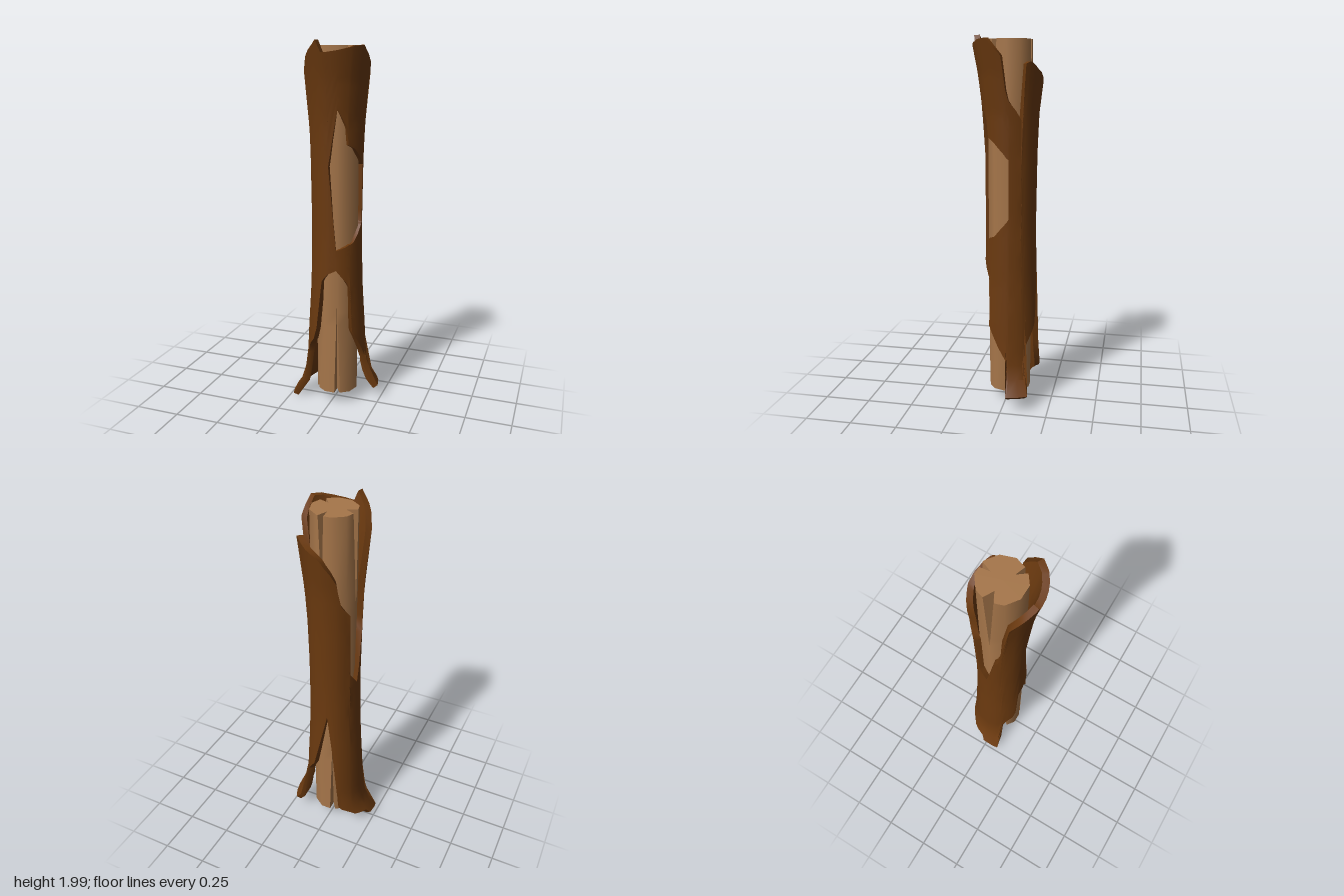
import * as THREE from 'three';
import { toCreasedNormals } from 'three/addons/utils/BufferGeometryUtils.js';

const rad = THREE.MathUtils.degToRad;
const lerp = THREE.MathUtils.lerp;

// Point at an angle (0 = front, 90 = +x), radius and height around an axis
function polar(deg, r, y, cx, cz) {
  return [cx + r * Math.sin(rad(deg)), y, cz + r * Math.cos(rad(deg))];
}

// Two triangles per cell of a grid of points, counter-clockwise with columns to the right, rows up
function addGrid(out, grid) {
  for (let i = 0; i + 1 < grid.length; i++) {
    for (let j = 0; j + 1 < grid[i].length; j++) {
      const a = grid[i][j], b = grid[i + 1][j], c = grid[i + 1][j + 1], d = grid[i][j + 1];
      out.push(...a, ...b, ...c, ...a, ...c, ...d);
    }
  }
}

function toMesh(name, positions, material) {
  const geo = new THREE.BufferGeometry();
  geo.setAttribute('position', new THREE.Float32BufferAttribute(positions, 3));
  const mesh = new THREE.Mesh(toCreasedNormals(geo, 0.75), material);
  mesh.name = name;
  return mesh;
}

// Outer bark radius by height: flared feet, narrow waist, flared rim
const PROFILE = [[0, 0.265], [0.05, 0.24], [0.12, 0.19], [0.22, 0.168], [0.45, 0.157], [0.7, 0.142],
  [1, 0.135], [1.4, 0.14], [1.6, 0.148], [1.8, 0.172], [2, 0.21]];

function barkRadius(deg, y) {
  const lift = deg > 60 && deg < 130 ? 0.05 * THREE.MathUtils.clamp((0.4 - y) / 0.3, 0, 1) : 0;
  const h = THREE.MathUtils.clamp(y - lift, 0, 2);
  let k = 0;
  while (k < PROFILE.length - 2 && h > PROFILE[k + 1][0]) k++;
  const [y0, r0] = PROFILE[k], [y1, r1] = PROFILE[k + 1];
  return lerp(r0, r1, (h - y0) / (y1 - y0));
}

// Bark sheets as columns of [angle, lower edge, upper edge]
const WRAP = [[95, 0.1, 1.67], [110, 0.1, 1.62], [122, 0.1, 1.57], [125, 0.13, 1.85], [131, 0.36, 1.86],
  [135, 0.38, 1.86], [155, 0.46, 1.82], [163, 0.55, 1.81], [180, 0.75, 1.78], [187, 0.83, 1.75],
  [198, 0.6, 1.71], [208, 0.3, 1.66], [212, 0.17, 1.6], [218, 0.15, 1.53], [238, 0.11, 1.47],
  [242, 0.1, 1.1], [264, 0.08, 1.03], [270, 0.05, 1.1], [285, 0.035, 1.32], [293, 0.025, 1.35],
  [299, 0.12, 1.4], [303, 0.3, 1.6], [312, 0.36, 1.85], [325, 0.4, 1.92], [333, 0.47, 1.95],
  [343, 0.74, 1.98], [348, 0.76, 2], [355, 0.78, 1.94], [360, 0.79, 1.94]];
const ABOVE_HOLE = [[0, 1.37, 1.94], [20, 1.66, 1.95], [40, 1.57, 1.965], [44, 1.48, 1.97],
  [60, 1.46, 1.975], [84, 1.4, 1.89], [90, 1.38, 1.72], [95, 1.37, 1.67]];
const BELOW_HOLE = [[0, 0.79, 1.37], [17, 0.81, 0.92], [40, 0.74, 0.94], [48, 0.71, 0.95],
  [51, 0.46, 0.95], [60, 0.42, 0.96], [90, 0.28, 1.04], [93, 0.1, 1.05], [95, 0.1, 1.06]];

function addBarkSheet(out, columns) {
  // Subdivide wide spans so the sheet follows the trunk
  const cols = [columns[0]];
  for (let i = 1; i < columns.length; i++) {
    const p = columns[i - 1], q = columns[i];
    const n = Math.ceil((q[0] - p[0]) / 18);
    for (let k = 1; k <= n; k++) cols.push(p.map((v, c) => lerp(v, q[c], k / n)));
  }
  const rows = 20, thickness = 0.032;
  const outer = [], inner = [];
  for (const [deg, lo, hi] of cols) {
    const o = [], n = [];
    for (let j = 0; j <= rows; j++) {
      const y = lerp(lo, hi, j / rows), r = barkRadius(deg, y);
      const slope = (barkRadius(deg, y + 0.02) - barkRadius(deg, y)) / 0.02;
      const len = Math.hypot(1, slope);
      const drop = Math.min(Math.max(-slope, 0) / len * thickness, y);
      o.push(polar(deg, r, y, 0.003, -0.015));
      n.push(polar(deg, r - thickness / len, y - drop, 0.003, -0.015));
    }
    outer.push(o);
    inner.push(n);
  }
  const last = cols.length - 1;
  addGrid(out, outer);
  addGrid(out, inner.slice().reverse());
  addGrid(out, cols.map((_, i) => [outer[i][rows], inner[i][rows]])); // upper edge
  addGrid(out, cols.map((_, i) => [inner[i][0], outer[i][0]]));       // lower edge
  addGrid(out, [inner[0], outer[0]]);                                 // side edges
  addGrid(out, [outer[last], inner[last]]);
}

// Ten-sided heartwood with wedge cracks running in from both ends
const CORE = { r: 0.117, lo: 0.08, hi: 1.975, cx: 0.007, cz: -0.012 };
const CRACKS = [
  { deg: 270, half: 14, top: true, reach: 0.5 }, { deg: 172, half: 7, top: true, reach: 0.4 },
  { deg: 54, half: 8, top: true, reach: 0.4 }, { deg: 18, half: 8, top: false, reach: 0.55 },
  { deg: 198, half: 8, top: false, reach: 0.48 }, { deg: 306, half: 8, top: false, reach: 0.4 }];

function coreRadius(deg) {
  const off = ((deg + 18) % 36 + 36) % 36 - 18;
  return CORE.r * Math.cos(rad(18)) / Math.cos(rad(off));
}

function coreRing(y) {
  const pts = [];
  for (let k = 0; k < 10; k++) {
    const deg = 18 + 36 * k;
    if (!CRACKS.some(c => Math.abs(c.deg - deg) < c.half)) pts.push([deg, coreRadius(deg)]);
  }
  for (const c of CRACKS) {
    const fromEnd = c.top ? CORE.hi - y : y - CORE.lo;
    const open = Math.max(0, 1 - fromEnd / c.reach);
    const half = Math.max(c.half * open, 0.3);
    pts.push([c.deg - half, coreRadius(c.deg - half)], [c.deg + half, coreRadius(c.deg + half)]);
    pts.push([c.deg, lerp(coreRadius(c.deg), 0.06, open)]);
  }
  pts.sort((p, q) => p[0] - q[0]);
  pts.push(pts[0]);
  return pts.map(([deg, r]) => polar(deg, r, y, CORE.cx, CORE.cz));
}

function buildCore(material) {
  const out = [];
  const ends = CRACKS.map(c => (c.top ? CORE.hi - c.reach : CORE.lo + c.reach));
  const levels = [...new Set([CORE.lo, ...ends, CORE.hi])].sort((a, b) => a - b);
  const rings = levels.map(coreRing);
  addGrid(out, rings[0].map((_, i) => rings.map(ring => ring[i])));
  // End grain
  const bottom = rings[0], top = rings[rings.length - 1];
  for (let i = 0; i + 1 < top.length; i++) {
    out.push(CORE.cx, CORE.hi, CORE.cz, ...top[i], ...top[i + 1]);
    out.push(CORE.cx, CORE.lo, CORE.cz, ...bottom[i + 1], ...bottom[i]);
  }
  return toMesh('heartwood', out, material);
}

export function createModel() {
  const barkMaterial = new THREE.MeshStandardMaterial({ color: 0x6a390f });
  barkMaterial.name = 'bark brown';
  const woodMaterial = new THREE.MeshStandardMaterial({ color: 0xa6764a });
  woodMaterial.name = 'bare wood tan';

  const group = new THREE.Group();
  group.name = 'treeTrunk';
  group.add(buildCore(woodMaterial));
  const bark = [];
  for (const sheet of [WRAP, ABOVE_HOLE, BELOW_HOLE]) addBarkSheet(bark, sheet);
  group.add(toMesh('bark', bark, barkMaterial));
  return group;
}
